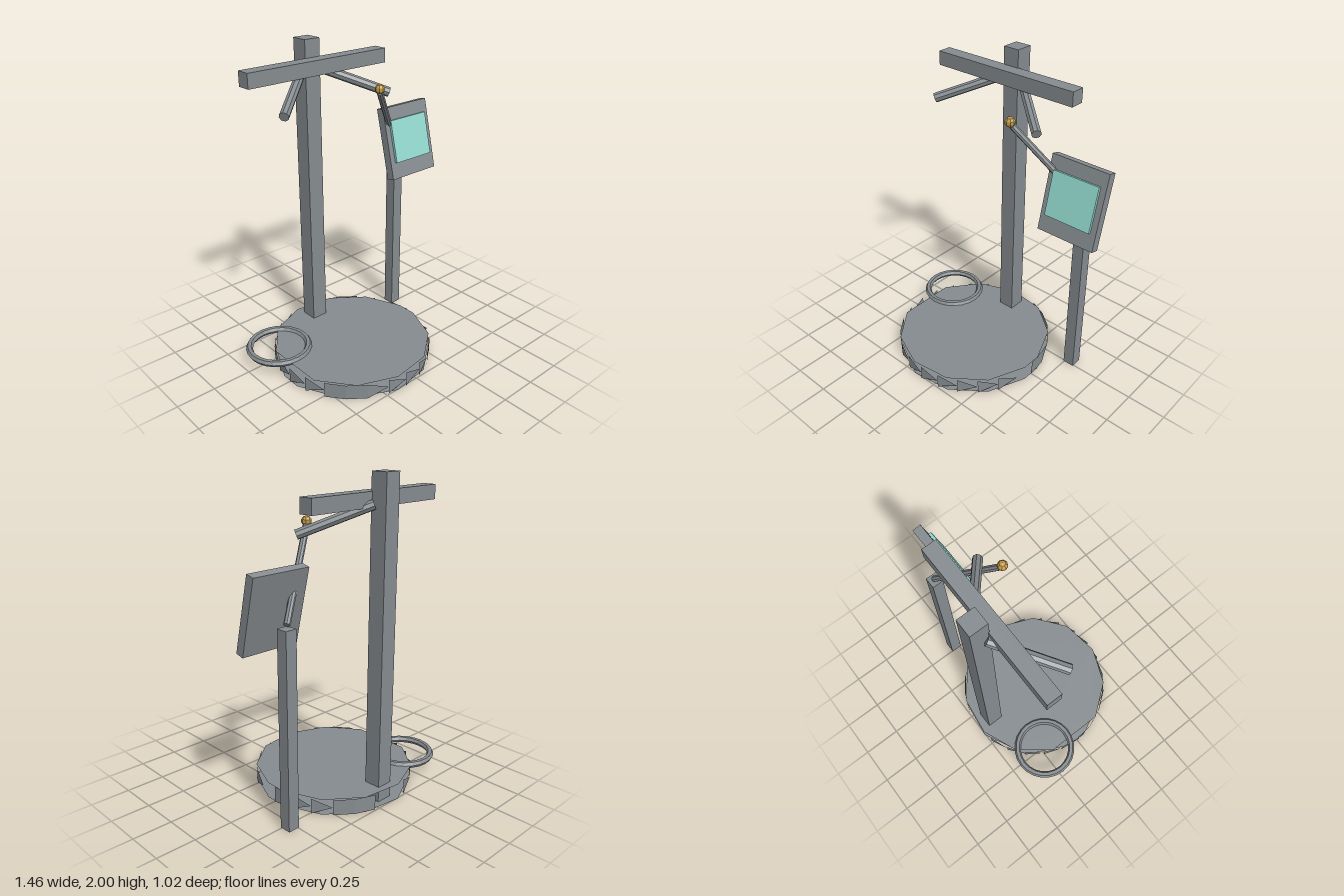
import * as THREE from 'three';

const mat = (name, color, side = THREE.FrontSide) => {
  const m = new THREE.MeshStandardMaterial({ color, side, flatShading: true });
  m.name = name;
  return m;
};

export function createModel() {
  const model = new THREE.Group();
  const steel = mat('steel grey', 0x868c90, THREE.DoubleSide);
  const glass = mat('screen aqua', 0x93dad0);
  const brass = mat('brass', 0xc49a45);

  const add = (name, geometry, material, x = 0, y = 0, z = 0, parent = model) => {
    const mesh = new THREE.Mesh(geometry, material);
    mesh.name = name;
    mesh.position.set(x, y, z);
    parent.add(mesh);
    return mesh;
  };
  const box = (w, h, d) => new THREE.BoxGeometry(w, h, d);

  // Cylinder running between two points
  const rod = (name, a, b, radius, sides) => {
    const from = new THREE.Vector3(...a), to = new THREE.Vector3(...b);
    const dir = to.clone().sub(from);
    const mesh = add(name, new THREE.CylinderGeometry(radius, radius, dir.length(), sides), steel);
    mesh.position.copy(from).add(to).multiplyScalar(0.5);
    mesh.quaternion.setFromUnitVectors(new THREE.Vector3(0, 1, 0), dir.normalize());
  };

  // Round base: two faceted discs joined by a rim of panels and pointed teeth
  const base = new THREE.Group();
  base.name = 'base';
  base.position.x = -0.1;
  model.add(base);
  const R = 0.51, H = 0.1;
  const disc = (name, half, y, facing) => {
    const angles = [...half.map(a => -a).reverse(), ...half];
    const points = angles.map(a => {
      const t = THREE.MathUtils.degToRad(a);
      return new THREE.Vector2(R * Math.cos(t), R * Math.sin(t));
    });
    const geo = new THREE.ShapeGeometry(new THREE.Shape(points));
    geo.rotateX(-facing * Math.PI / 2);
    add(name, geo, steel, 0, y, 0, base);
  };
  disc('baseTop', [7.5, 37.5, 67.5, 97.5, 127.5, 157.5], H, 1);
  disc('baseBottom', [7.5, 37.5, 67.5, 97.5, 136, 172.5], 0, -1);

  const panels = [6, 9, 10, 20, 21], open = [5, 11, 12];
  const rim = [];
  const rimPoint = (k, y) => {
    const a = k * Math.PI / 12;
    return [R * Math.sin(a), y, R * Math.cos(a)];
  };
  for (let k = 0; k < 24; k++) {
    if (open.includes(k)) continue;
    const low = rimPoint(k, 0), high = rimPoint(k, H);
    if (panels.includes(k)) {
      const low2 = rimPoint(k + 1, 0), high2 = rimPoint(k + 1, H);
      rim.push(...low, ...low2, ...high2, ...low, ...high2, ...high);
    } else {
      rim.push(...low, ...rimPoint(k + 1, H / 2), ...high);
    }
  }
  const rimGeo = new THREE.BufferGeometry();
  rimGeo.setAttribute('position', new THREE.Float32BufferAttribute(rim, 3));
  rimGeo.computeVertexNormals();
  add('baseRim', rimGeo, steel, 0, 0, 0, base);

  // Tall post, crossbar and the two sloping arms
  add('mainPost', box(0.108, 2, 0.11), steel, -0.1, 1, -0.393);
  add('crossbar', box(1.02, 0.09, 0.09), steel, -0.1, 1.845, -0.3);
  for (const s of [1, -1]) {
    rod(s > 0 ? 'leftArm' : 'rightArm',
      [-0.1 + s * 0.06, 1.82, -0.365], [-0.1 + s * 0.395, 1.66, -0.095], 0.03, 8);
  }

  // Ring lying at the edge of the base
  const ring = new THREE.TorusGeometry(0.19, 0.022, 6, 24);
  ring.rotateX(Math.PI / 2);
  add('ring', ring, steel, -0.52, 0.1, -0.235);

  // Side stand with a tilted screen
  add('screenPost', box(0.074, 1.21, 0.074), steel, 0.532, 0.605, -0.278);
  const display = new THREE.Group();
  display.name = 'display';
  display.position.set(0.532, 1.29, -0.1675);
  display.rotation.x = -0.237;
  model.add(display);
  add('displayPanel', box(0.385, 0.468, 0.056), steel, 0, 0, 0, display);
  add('screen', box(0.31, 0.278, 0.018), glass, 0, 0.01, 0.036, display);

  // Lever with a brass knob
  rod('lever', [0.53, 1.23, -0.278], [0.168, 1.69, -0.04], 0.02, 8);
  add('leverKnob', new THREE.SphereGeometry(0.031, 8, 5), brass, 0.157, 1.715, -0.03);

  return model;
}
